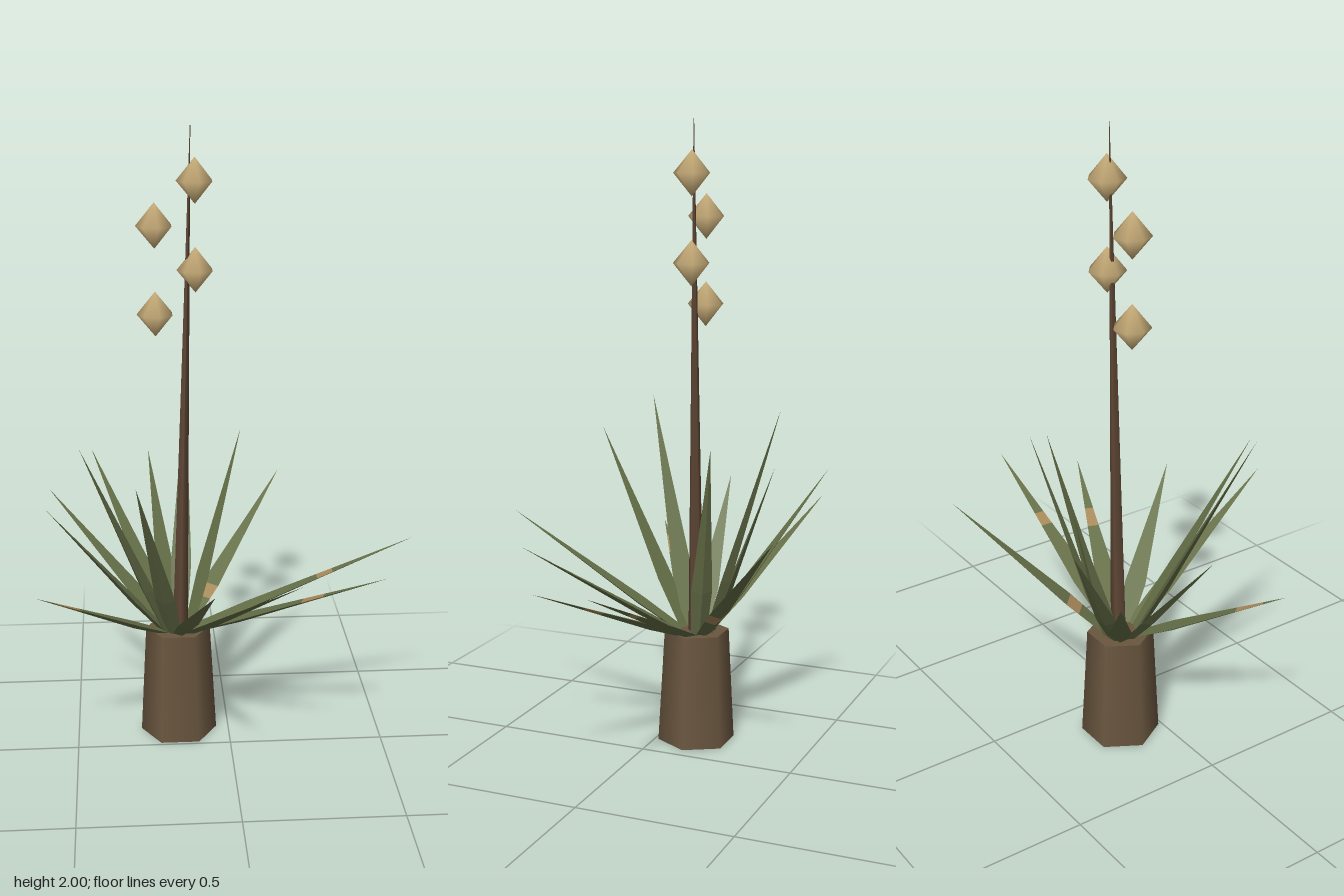
import * as THREE from 'three';

const CX = -0.165, CZ = -0.12; // plant axis

const material = (name, color, extra = {}) => {
  const m = new THREE.MeshStandardMaterial({ color, ...extra });
  m.name = name;
  return m;
};

// Blade half-width along its length: swells slightly, then tapers to a point
const bladeWidth = t => t < 0.25 ? 0.025 + 0.036 * t : 0.034 * (1 - t) / 0.75;

// Keeled blade with a triangular section; an optional dry band uses material 1
function bladeGeometry(base, tip, band) {
  const dir = tip.clone().sub(base);
  const side = dir.clone().cross(new THREE.Vector3(0, 1, 0)).normalize();
  const up = side.clone().cross(dir).normalize();
  const stops = [0, 0.25, ...(band || []), 1].sort((a, b) => a - b);
  const rings = stops.map(t => {
    const p = base.clone().addScaledVector(dir, t), w = bladeWidth(t);
    return [
      p.clone().addScaledVector(side, -w),
      p.clone().addScaledVector(side, w),
      p.clone().addScaledVector(up, -0.5 * w),
    ];
  });
  const points = [];
  const geo = new THREE.BufferGeometry();
  for (let i = 0; i < rings.length - 1; i++) {
    const start = points.length;
    const last = i === rings.length - 2;
    for (let j = 0; j < 3; j++) {
      const k = (j + 1) % 3;
      points.push(rings[i][j], rings[i][k], rings[i + 1][k]);
      if (!last) points.push(rings[i][j], rings[i + 1][k], rings[i + 1][j]);
    }
    const dry = band && stops[i] >= band[0] && stops[i + 1] <= band[1];
    geo.addGroup(start, points.length - start, dry ? 1 : 0);
  }
  geo.setFromPoints(points);
  geo.computeVertexNormals();
  return geo;
}

export function createModel() {
  const group = new THREE.Group();
  const bark = material('bark brown', 0x6a563f);
  const stem = material('stalk brown', 0x5f4735);
  const green = material('leaf green', 0x667048);
  const dry = material('dry leaf tan', 0xa88a5a);
  const cream = material('blossom tan', 0xcdb17c);

  const add = (name, geo, mat, x = 0, y = 0, z = 0) => {
    const mesh = new THREE.Mesh(geo, mat);
    mesh.name = name;
    mesh.position.set(x, y, z);
    group.add(mesh);
    return mesh;
  };

  // Six-sided trunk
  add('trunk', new THREE.CylinderGeometry(0.105, 0.125, 0.37, 6, 1, false, Math.PI / 6),
    bark, CX, 0.185, CZ);

  // Flower stalk, leaning slightly to its left
  const foot = new THREE.Vector3(-0.158, 0.35, CZ);
  const top = new THREE.Vector3(-0.113, 2, CZ);
  const axis = top.clone().sub(foot);
  const mid = foot.clone().add(top).multiplyScalar(0.5);
  const stalk = add('flowerStalk', new THREE.CylinderGeometry(0.001, 0.026, axis.length(), 5),
    stem, mid.x, mid.y, mid.z);
  stalk.quaternion.setFromUnitVectors(new THREE.Vector3(0, 1, 0), axis.normalize());

  // Blossoms alternating on both sides of the stalk
  const bud = new THREE.SphereGeometry(0.058, 7, 2);
  bud.scale(1, 0.071 / 0.058, 1);
  [[-0.225, 1.425], [-0.1, 1.562], [-0.225, 1.7], [-0.1, 1.836]].forEach(([x, y]) =>
    add('blossom', bud, cream, x, y, CZ));

  // Leaf tips (x, y, z) and optional dry band along the blade
  const leaves = [
    [0.2, 0.78, -0.5, [0.17, 0.25]],
    [-0.44, 0.88, -0.47],
    [-0.585, 0.76, -0.41],
    [-0.25, 0.91, -0.35],
    [-0.12, 1.12, -0.41],
    [0.05, 1.01, -0.245],
    [0.6, 0.675, -0.09, [0.57, 0.64]],
    [0.48, 0.63, 0.147, [0.58, 0.69]],
    [0.195, 0.685, 0.325],
    [-0.08, 0.73, 0.495],
    [-0.3, 0.99, 0.275],
    [-0.465, 1.08, 0.162],
    [-0.61, 0.61, 0.18, [0.68, 0.85]],
    [-0.58, 0.8, -0.08],
  ];
  for (const [x, y, z, band] of leaves) {
    const tip = new THREE.Vector3(x, y, z);
    const out = new THREE.Vector3(x - CX, 0, z - CZ).normalize();
    const base = new THREE.Vector3(CX, 0.365, CZ).addScaledVector(out, 0.045);
    add('leaf', bladeGeometry(base, tip, band), [green, dry]);
  }

  return group;
}
